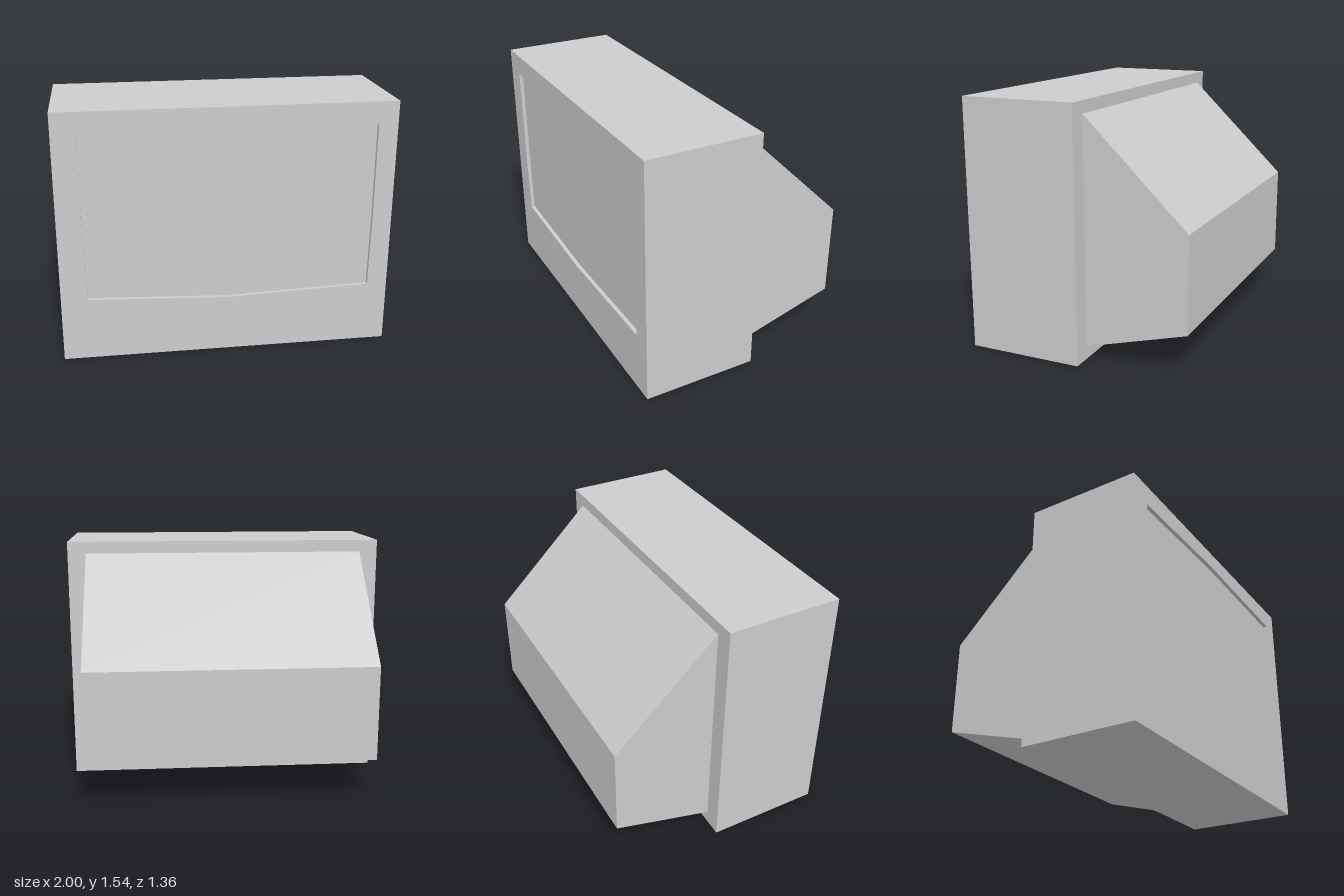
import * as THREE from 'three';

const FRONT = 0.68, CABINET_BACK = -0.04, BACK = -0.68;
const WIDTH = 2, HEIGHT = 1.54, RECESS = 0.03, PLATE = 0.005;

// Slightly bowed outline of the screen opening
const opening = [
  [-0.855, 1.41], [0, 1.435], [0.883, 1.41], [0.883, 0.8],
  [0.877, 0.38], [0, 0.35], [-0.84, 0.39], [-0.855, 0.8],
];

const polygon = (points, Type = THREE.Shape) =>
  new Type(points.map(([x, y]) => new THREE.Vector2(x, y)));

const extrude = (shape, depth) =>
  new THREE.ExtrudeGeometry(shape, { depth, bevelEnabled: false });

export function createModel() {
  const model = new THREE.Group();
  model.name = 'television';
  const grey = new THREE.MeshStandardMaterial({ color: 0xcccccc });
  grey.name = 'plain grey';

  function add(name, geometry, z = 0) {
    const mesh = new THREE.Mesh(geometry, grey);
    mesh.name = name;
    mesh.position.z = z;
    model.add(mesh);
    return mesh;
  }

  // Cabinet behind the screen
  const depth = FRONT - RECESS - CABINET_BACK;
  const cabinet = add('cabinet', new THREE.BoxGeometry(WIDTH, HEIGHT, depth), CABINET_BACK + depth / 2);
  cabinet.position.y = HEIGHT / 2;

  // Front frame around the recessed screen
  const frame = polygon([[-1, 0], [1, 0], [1, HEIGHT], [-1, HEIGHT]]);
  frame.holes.push(polygon(opening, THREE.Path));
  add('frontFrame', extrude(frame, RECESS), FRONT - RECESS);
  add('screen', extrude(polygon(opening), PLATE), FRONT - RECESS);

  // Tapered tube housing: side profile extruded across the width
  const halfWidth = 0.885;
  const profile = polygon([
    [-CABINET_BACK, 0.08], [-BACK, 0.26], [-BACK, 0.845], [-CABINET_BACK, 1.465],
  ]);
  const housing = extrude(profile, halfWidth * 2);
  housing.translate(0, 0, -halfWidth).rotateY(Math.PI / 2);
  add('tubeHousing', housing);

  return model;
}
